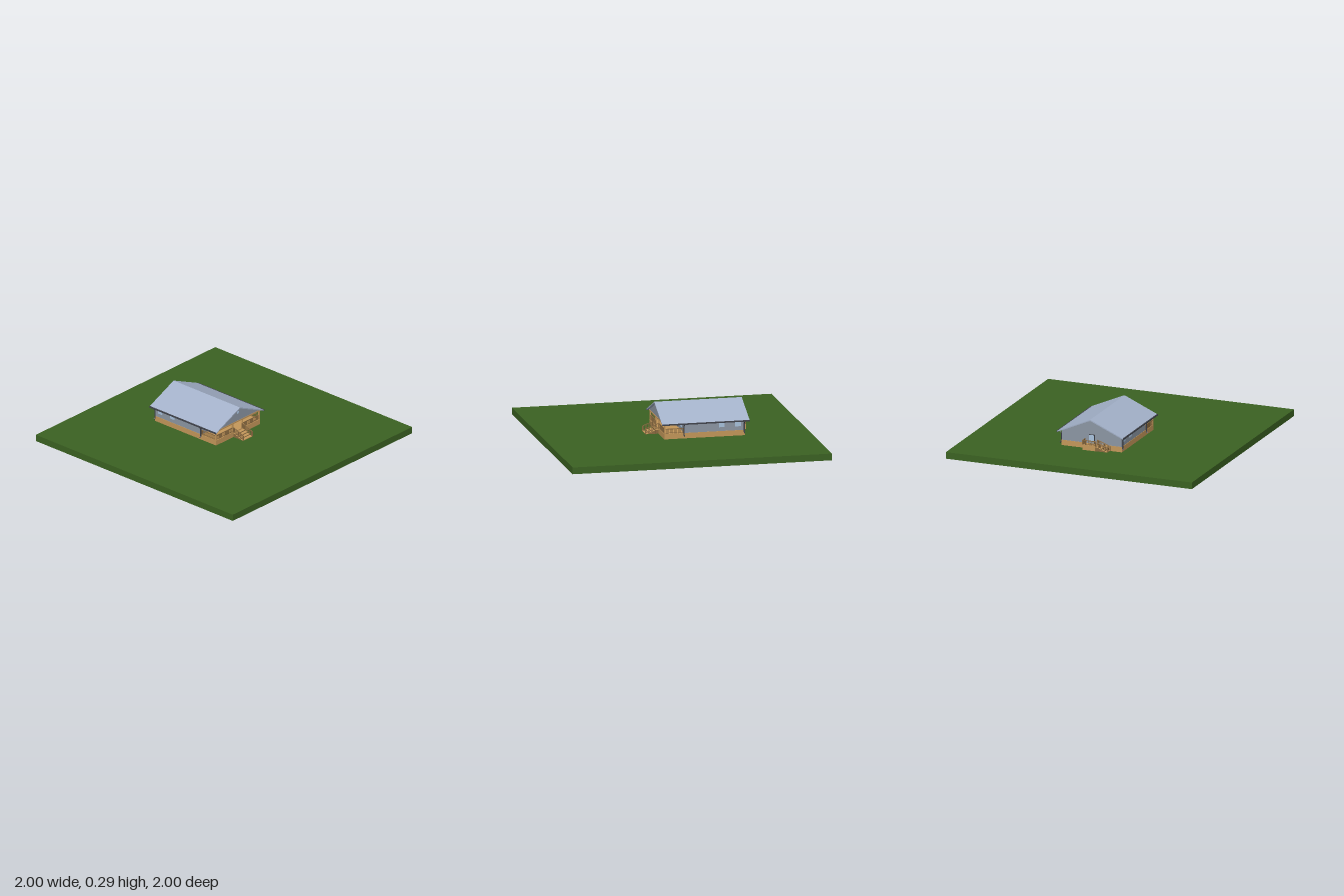
import * as THREE from 'three';

const mat = (name, color) => {
  const m = new THREE.MeshStandardMaterial({ color });
  m.name = name;
  return m;
};

export function createModel() {
  const grass = mat('grass green', 0x3b6222);
  const wood = mat('deck wood', 0xc4975a);
  const rail = mat('railing brown', 0x8a6a40);
  const wallGrey = mat('wall grey', 0x8c96a3);
  const roofBlue = mat('roof blue grey', 0xa3b1c9);
  const glass = mat('pale glass', 0xa9c3de);
  const dark = mat('gutter dark', 0x41444c);

  const model = new THREE.Group();
  model.name = 'houseOnLawn';
  const house = new THREE.Group();
  house.name = 'house';
  house.position.x = 0.022;

  // Box given by its min and max on each axis
  const box = (name, material, x0, x1, y0, y1, z0, z1, parent = house) => {
    const m = new THREE.Mesh(new THREE.BoxGeometry(x1 - x0, y1 - y0, z1 - z0), material);
    m.name = name;
    m.position.set((x0 + x1) / 2, (y0 + y1) / 2, (z0 + z1) / 2);
    parent.add(m);
    return m;
  };

  // Square bar between two points
  const bar = (name, material, a, b, t, parent = house) => {
    const p = new THREE.Vector3(...a), q = new THREE.Vector3(...b);
    const d = q.clone().sub(p);
    const m = new THREE.Mesh(new THREE.BoxGeometry(t, t, d.length()), material);
    m.name = name;
    m.position.copy(p).add(q).multiplyScalar(0.5);
    m.quaternion.setFromUnitVectors(new THREE.Vector3(0, 0, 1), d.normalize());
    parent.add(m);
  };

  // Railing along the line a-b, level or sloped
  const railing = (name, a, b, n, h = 0.036) => {
    const g = new THREE.Group();
    g.name = name;
    const up = (p, dy) => [p[0], p[1] + dy, p[2]];
    bar('handrail', rail, up(a, h), up(b, h), 0.005, g);
    bar('lowerRail', rail, up(a, 0.006), up(b, 0.006), 0.003, g);
    for (let i = 0; i <= n; i++) {
      const p = a.map((v, k) => v + (b[k] - v) * i / n);
      const end = i === 0 || i === n;
      const t = end ? 0.0035 : 0.0018;
      box(end ? 'railPost' : 'baluster', rail, p[0] - t, p[0] + t, p[1], p[1] + h, p[2] - t, p[2] + t, g);
    }
    house.add(g);
  };

  // Profile extruded along z
  const extrude = (name, material, pts, z0, z1) => {
    const shape = new THREE.Shape(pts.map(p => new THREE.Vector2(...p)));
    const geo = new THREE.ExtrudeGeometry(shape, { depth: z1 - z0, bevelEnabled: false });
    const m = new THREE.Mesh(geo, material);
    m.name = name;
    m.position.z = z0;
    house.add(m);
  };

  // Lawn, deck base and walls
  box('lawn', grass, -1, 1, 0, 0.052, -1, 1, model);
  box('deckBase', wood, -0.245, 0.245, 0.052, 0.093, -0.5, 0.122);
  box('walls', wallGrey, -0.242, 0.242, 0.093, 0.168, -0.497, -0.032);

  // Gables and roof
  const gable = [[-0.245, 0.165], [0.245, 0.165], [0.245, 0.171], [0, 0.28], [-0.245, 0.171]];
  extrude('houseGable', wallGrey, gable, -0.497, -0.48);
  extrude('porchGable', wallGrey, gable, 0.11, 0.122);
  extrude('roof', roofBlue, [[-0.268, 0.162], [0, 0.279], [0.268, 0.162], [0.268, 0.17],
    [0, 0.288], [-0.268, 0.17]], -0.532, 0.142);
  box('porchCeiling', wallGrey, -0.245, 0.245, 0.165, 0.17, -0.04, 0.12);
  box('porchBeam', wood, -0.245, 0.245, 0.163, 0.173, 0.113, 0.125);
  box('gableVent', glass, -0.009, 0.009, 0.232, 0.25, 0.122, 0.125);

  // Porch columns
  for (const x of [-0.239, -0.054, 0.054, 0.239])
    box('porchColumn', wood, x - 0.005, x + 0.005, 0.093, 0.165, 0.111, 0.121);

  // Gutters, downspouts, side beams, porch rails and side windows on both sides
  for (const s of [-1, 1]) {
    const side = (x0, x1) => [Math.min(s * x0, s * x1), Math.max(s * x0, s * x1)];
    box('gutter', dark, ...side(0.261, 0.272), 0.162, 0.172, -0.532, 0.142);
    box('sideBeam', wood, ...side(0.234, 0.245), 0.163, 0.17, -0.032, 0.122);
    for (const z of [-0.03, -0.494]) {
      bar('downspoutElbow', dark, [s * 0.266, 0.162, z], [s * 0.249, 0.148, z], 0.007);
      bar('downspout', dark, [s * 0.249, 0.15, z], [s * 0.249, 0.08, z], 0.007);
      bar('downspoutOutlet', dark, [s * 0.249, 0.08, z], [s * 0.26, 0.072, z], 0.007);
    }
    railing('porchSideRail', [s * 0.24, 0.093, -0.028], [s * 0.24, 0.093, 0.116], 14);
    railing('porchFrontRail', [s * 0.054, 0.093, 0.116], [s * 0.24, 0.093, 0.116], 18);
    for (const z of [-0.322, -0.447])
      box('sideWindow', glass, ...side(0.24, 0.2445), 0.123, 0.161, z - 0.022, z + 0.022);
    const wx = s * 0.147;
    box('frontWindow', glass, wx - 0.024, wx + 0.024, 0.122, 0.162, -0.033, -0.029);
    railing('frontStairRail', [s * 0.049, 0.093, 0.122], [s * 0.049, 0.056, 0.222], 9, 0.038);
  }

  // Front and back doors
  for (const [z0, z1, f0, f1, name] of [[-0.033, -0.027, -0.033, -0.029, 'frontDoor'],
    [-0.502, -0.495, -0.5, -0.495, 'backDoor']]) {
    box(name + 'Frame', dark, -0.024, 0.024, 0.093, 0.163, f0, f1);
    box(name, glass, -0.02, 0.02, 0.094, 0.159, z0, z1);
  }

  // Front stairs, stepping down toward the lawn
  for (let i = 0; i < 4; i++) {
    const y = 0.085 - i * 0.009, z = 0.122 + i * 0.025;
    box('frontRiser', rail, -0.05, 0.05, 0.052, y - 0.003, z, z + 0.024);
    box('frontTread', wood, -0.052, 0.052, y - 0.003, y, z, z + 0.026);
  }

  // Back landing with stairs going down sideways
  box('backLanding', wood, -0.05, 0.055, 0.052, 0.093, -0.552, -0.5);
  railing('landingRail', [-0.048, 0.093, -0.549], [0.052, 0.093, -0.549], 9, 0.034);
  railing('landingEndRail', [0.052, 0.093, -0.549], [0.052, 0.093, -0.504], 4, 0.034);
  for (let i = 0; i < 4; i++) {
    const y = 0.085 - i * 0.009, x = -0.05 - i * 0.025;
    box('backRiser', rail, x - 0.024, x, 0.052, y - 0.003, -0.55, -0.502);
    box('backTread', wood, x - 0.026, x, y - 0.003, y, -0.552, -0.5);
  }
  for (const z of [-0.549, -0.504])
    railing('backStairRail', [-0.05, 0.093, z], [-0.15, 0.056, z], 9, 0.034);

  model.add(house);
  return model;
}
